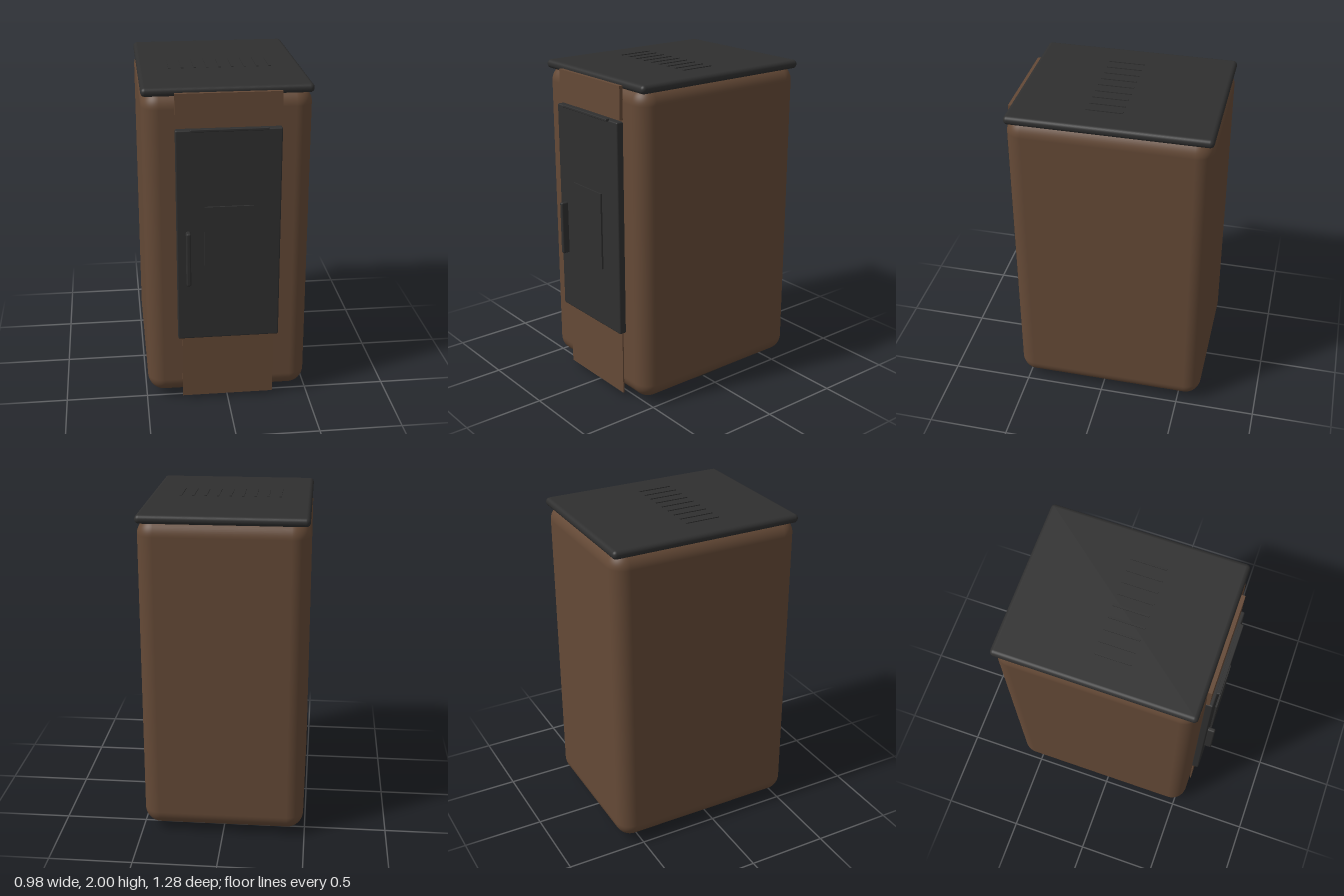
import * as THREE from 'three';
import { RoundedBoxGeometry } from 'three/addons/geometries/RoundedBoxGeometry.js';

export function createModel() {
  const stove = new THREE.Group();
  stove.name = 'stove';

  const brown = new THREE.MeshStandardMaterial({ color: 0x644936 });
  brown.name = 'brown enamel';
  const black = new THREE.MeshStandardMaterial({ color: 0x2f2f2f });
  black.name = 'black iron';

  // Box given by its [min, max] on each axis; a radius rounds the edges
  function box(name, material, [x0, x1], [y0, y1], [z0, z1], radius = 0, segments = 3) {
    const size = [x1 - x0, y1 - y0, z1 - z0];
    const geometry = radius
      ? new RoundedBoxGeometry(...size, segments, radius)
      : new THREE.BoxGeometry(...size);
    const mesh = new THREE.Mesh(geometry, material);
    mesh.name = name;
    mesh.position.set((x0 + x1) / 2, (y0 + y1) / 2, (z0 + z1) / 2);
    stove.add(mesh);
  }

  // Main casing and overhanging top plate
  box('body', brown, [-0.49, 0.49], [0.035, 1.97], [-0.64, 0.555], 0.1, 8);
  box('topPlate', black, [-0.49, 0.49], [1.943, 1.995], [-0.64, 0.552], 0.025, 5);

  // Raised slats on the top plate
  for (let i = -4; i <= 4; i++) {
    const x = i * 0.075;
    box('topSlat', black, [x - 0.007, x + 0.007], [1.985, 2], [-0.097, 0.117]);
  }

  // Brown front panels above and below the door
  box('upperPanel', brown, [-0.305, 0.305], [1.77, 1.967], [0.553, 0.576]);
  box('lowerPanel', brown, [-0.28, 0.28], [0.025, 0.45], [0.555, 0.563]);

  // Door with window, handle and top lip
  box('door', black, [-0.305, 0.305], [0.445, 1.76], [0.55, 0.597], 0.008);
  box('window', black, [-0.143, 0.143], [0.823, 1.3], [0.59, 0.608]);
  box('handle', black, [-0.253, -0.226], [0.815, 1.15], [0.59, 0.641], 0.009);
  box('doorLip', black, [-0.223, 0.223], [1.753, 1.769], [0.59, 0.614], 0.004);

  // Two feet, mirrored left and right
  for (const side of [-1, 1]) {
    const x = side * 0.355;
    box('foot', black, [x - 0.04, x + 0.04], [0, 0.06], [-0.138, 0.055], 0.014);
  }

  return stove;
}
